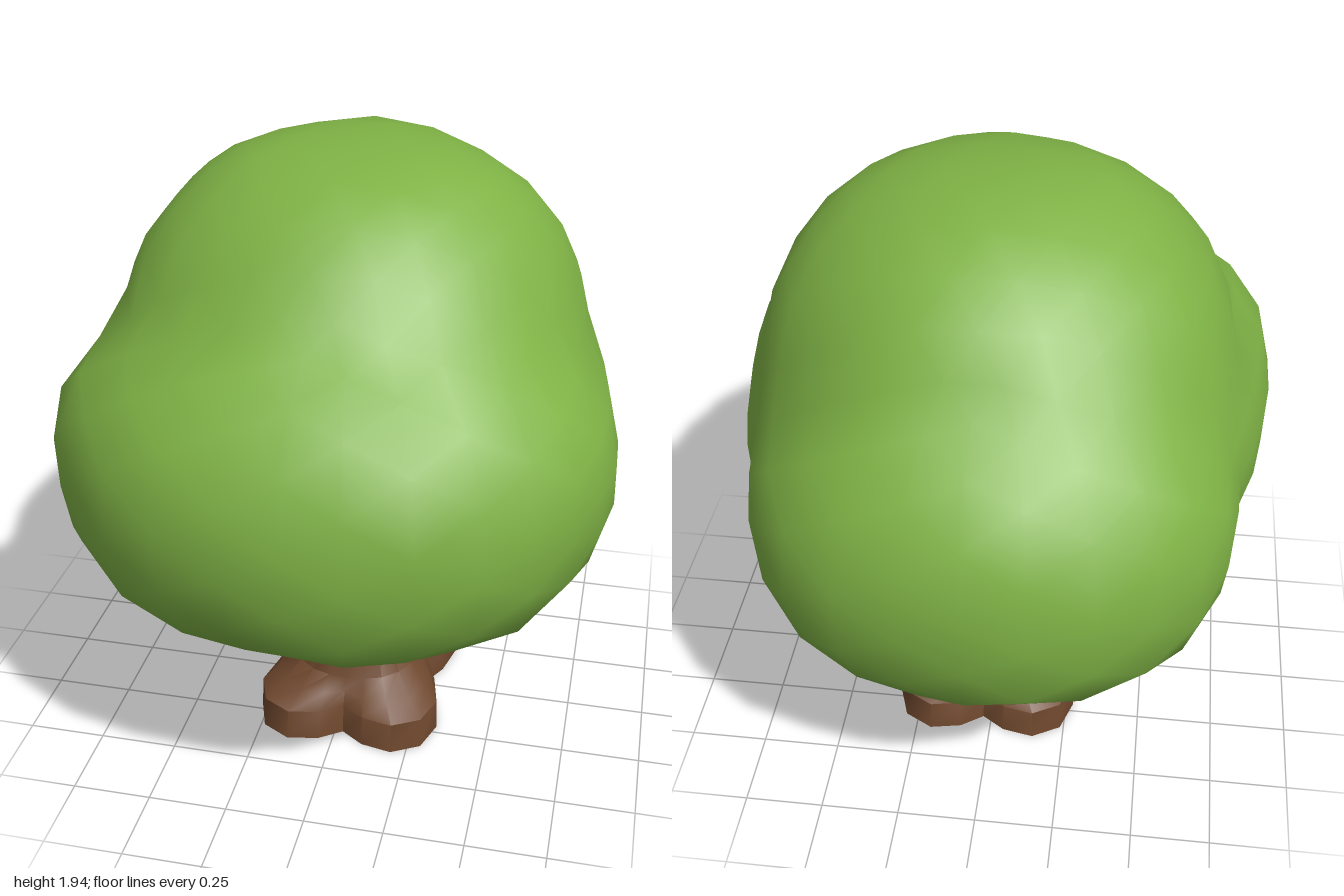
import * as THREE from 'three';
import { mergeVertices, toCreasedNormals } from 'three/addons/utils/BufferGeometryUtils.js';

// Canopy lobes: centre, half width, rise above and drop below centre, reach to front and back
const LOBES = [
  { c: [0, 1.12, 0.28], w: 0.84, up: 0.5, down: 0.55, front: 0.72, back: 1.15, pUp: 2, pDown: 3 },
  { c: [0, 1.25, -0.02], w: 0.72, up: 0.7, down: 0.6, front: 0.71, back: 0.71, pUp: 2.3, pDown: 2 },
  { c: [-0.02, 1.1, -0.45], w: 0.71, up: 0.49, down: 0.52, front: 0.5, back: 0.55, pUp: 2, pDown: 3 },
];

function inside(v) {
  return LOBES.some(({ c, w, up, down, front, back, pUp, pDown }) => {
    const x = Math.abs(v.x - c[0]) / w;
    const y = (v.y - c[1]) / (v.y > c[1] ? up : down);
    const z = (v.z - c[2]) / (v.z > c[2] ? front : back);
    const flat = (x ** 2.1 + Math.abs(z) ** 2.1) ** (1 / 2.1);
    const p = y > 0 ? pUp : pDown;
    return flat ** p + Math.abs(y) ** p < 1;
  });
}

const bump = (dx, dz, w) => Math.exp(-(dx * dx + dz * dz) / (w * w));

// One skin wrapped around all lobes, with soft lumps
function canopyGeometry() {
  let geo = new THREE.IcosahedronGeometry(1, 5);
  geo.deleteAttribute('uv');
  geo.deleteAttribute('normal');
  geo = mergeVertices(geo, 1e-4);
  const pos = geo.attributes.position;
  const centre = new THREE.Vector3(0, 1.12, 0);
  const dir = new THREE.Vector3();
  const v = new THREE.Vector3();
  for (let i = 0; i < pos.count; i++) {
    dir.fromBufferAttribute(pos, i).normalize();
    let reach = 1.4;
    do {
      reach -= 0.002;
      v.copy(centre).addScaledVector(dir, reach);
    } while (reach > 0.1 && !inside(v));
    const lump = Math.sin(v.x * 9 + v.y * 4) * Math.sin(v.z * 8 - v.y * 5 + 1);
    v.addScaledVector(dir, 0.01 * lump);
    if (v.y < 0.75) {
      // hollow around the trunk and a drooping clump beside it
      v.y += 0.08 * bump(0, v.z + 0.02, 0.14);
      v.y -= 0.09 * bump(v.x - 0.27, v.z - 0.27, 0.17);
    }
    pos.setXYZ(i, v.x, v.y, v.z);
  }
  geo.computeVertexNormals();
  return geo;
}

// Trunk rings: height, x radius, z radius, root length
const RINGS = [
  [0, 0.22, 0.31, 0.155],
  [0.1, 0.22, 0.3, 0.15],
  [0.145, 0.215, 0.28, 0.09],
  [0.19, 0.215, 0.26, 0.02],
  [0.36, 0.185, 0.24, 0],
  [0.52, 0.178, 0.22, 0],
  [0.8, 0.17, 0.22, 0],
];

function trunkGeometry() {
  const sides = 24;
  const points = [];
  const index = [];
  RINGS.forEach(([y, rx, rz, root], k) => {
    for (let i = 0; i < sides; i++) {
      const a = (i / sides) * Math.PI * 2;
      const lobe = root * Math.abs(Math.sin(2 * a)) ** 1.3;
      points.push(0.027 + Math.cos(a) * (rx + lobe), y, Math.sin(a) * (rz + lobe));
      if (k === RINGS.length - 1) continue;
      const p = k * sides + i;
      const q = k * sides + ((i + 1) % sides);
      index.push(p, p + sides, q, q, p + sides, q + sides);
    }
  });
  // Flat caps at both ends
  const top = (RINGS.length - 1) * sides;
  const hub = points.length / 3;
  points.push(0.027, 0, 0, 0.027, 0.8, 0);
  for (let i = 0; i < sides; i++) {
    const j = (i + 1) % sides;
    index.push(hub, i, j, hub + 1, top + j, top + i);
  }
  const geo = new THREE.BufferGeometry();
  geo.setAttribute('position', new THREE.Float32BufferAttribute(points, 3));
  geo.setIndex(index);
  return toCreasedNormals(geo, 0.8);
}

// Bent branch that leaves the trunk and climbs into the canopy
function branchGeometry(points, radius) {
  const path = new THREE.CatmullRomCurve3(points.map((p) => new THREE.Vector3(...p)));
  return new THREE.TubeGeometry(path, 5, radius, 7);
}

export function createModel() {
  const leafGreen = new THREE.MeshStandardMaterial({ color: 0x7fb245 });
  const barkBrown = new THREE.MeshStandardMaterial({ color: 0x6f482e });
  leafGreen.name = 'leafGreen';
  barkBrown.name = 'barkBrown';

  const tree = new THREE.Group();
  tree.name = 'tree';
  const add = (name, geometry, material) => {
    const mesh = new THREE.Mesh(geometry, material);
    mesh.name = name;
    tree.add(mesh);
  };
  add('canopy', canopyGeometry(), leafGreen);
  add('trunk', trunkGeometry(), barkBrown);
  add('frontBranch', branchGeometry([[0.03, 0.4, 0.14], [0.02, 0.44, 0.3], [0, 0.68, 0.48]], 0.05), barkBrown);
  add('backBranch', branchGeometry([[0.03, 0.39, -0.14], [0.02, 0.45, -0.3], [0, 0.7, -0.5]], 0.057), barkBrown);
  return tree;
}
